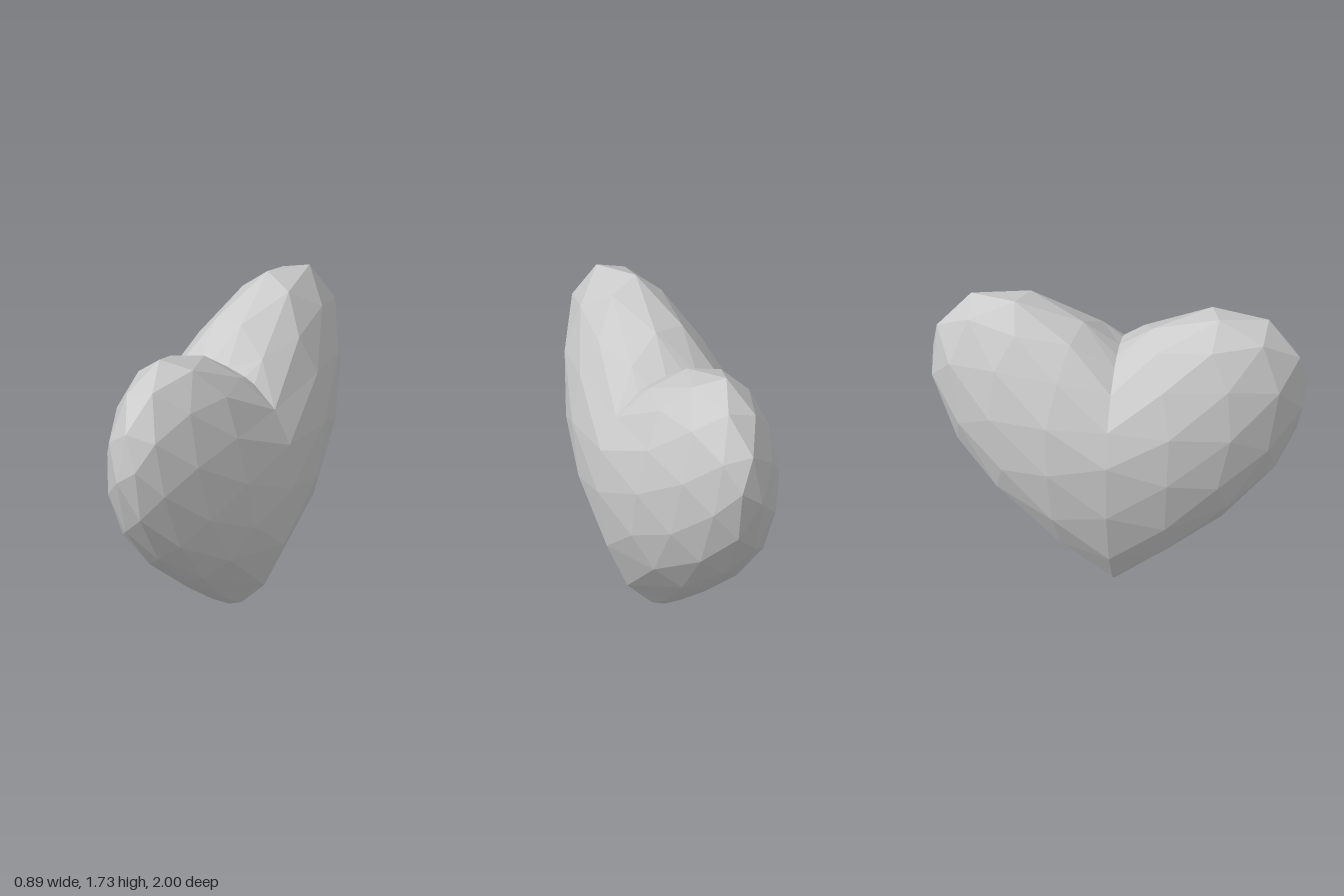
import * as THREE from 'three';

// Shape a unit-sphere point into one lobe of the heart (z = 0 is the heart's centre plane).
// The lobes rise away from the centre plane; the rise fades out toward the two broad faces,
// so the cleft runs out smoothly and the faces stay softly rounded.
// The lobe tips lean slightly to one side.
function toHeart(p) {
  const z = p.z;
  const rise = 0.38 * (2 * z - z * z) * (1 - 0.85 * p.x * p.x);
  const halfHeight = p.y > 0 ? 0.52 + 0.17 * z : 0.928;
  const halfWidth = 0.45 * (1 - 0.2 * z * z);
  const lean = 0.03 * z * z;
  return new THREE.Vector3(p.x * halfWidth + lean, 0.92 + rise + p.y * halfHeight, z * 1.01);
}

// Keep the part of a triangle with z >= 0; cut corners are put back on the sphere
function clipFront(tri) {
  const out = [];
  tri.forEach((a, i) => {
    const b = tri[(i + 1) % 3];
    if (a.z >= 0) out.push(a);
    if (a.z * b.z < 0) {
      const cut = a.clone().lerp(b, a.z / (a.z - b.z));
      cut.z = 0;
      out.push(cut.normalize());
    }
  });
  return out;
}

function heartGeometry() {
  // Low-poly ball turned so that a corner forms the lobe's outer tip
  const ball = new THREE.IcosahedronGeometry(1, 2);
  ball.rotateX(Math.atan(2 / (1 + Math.sqrt(5))));
  ball.rotateY(0.15);
  const pos = ball.attributes.position;
  const corner = (i) => {
    const p = new THREE.Vector3().fromBufferAttribute(pos, i);
    if (Math.abs(p.z) < 0.1) p.z = 0;
    return p.normalize();
  };

  const verts = [];
  for (let i = 0; i < pos.count; i += 3) {
    const tri = [corner(i), corner(i + 1), corner(i + 2)];
    if (Math.max(...tri.map((p) => p.z)) <= 0) continue;
    const poly = clipFront(tri).map(toHeart);
    for (let k = 1; k < poly.length - 1; k++) {
      const face = [poly[0], poly[k], poly[k + 1]];
      face.forEach((p) => verts.push(p.x, p.y, p.z));
      // Mirrored lobe, with the corner order reversed
      face.reverse().forEach((p) => verts.push(p.x, p.y, -p.z));
    }
  }

  const geo = new THREE.BufferGeometry();
  geo.setAttribute('position', new THREE.Float32BufferAttribute(verts, 3));
  geo.computeVertexNormals();
  return geo;
}

export function createModel() {
  const group = new THREE.Group();
  group.name = 'heartModel';
  const heart = new THREE.Mesh(
    heartGeometry(),
    new THREE.MeshStandardMaterial({ color: 0xcccccc, flatShading: true })
  );
  heart.name = 'heart';
  group.add(heart);
  return group;
}
